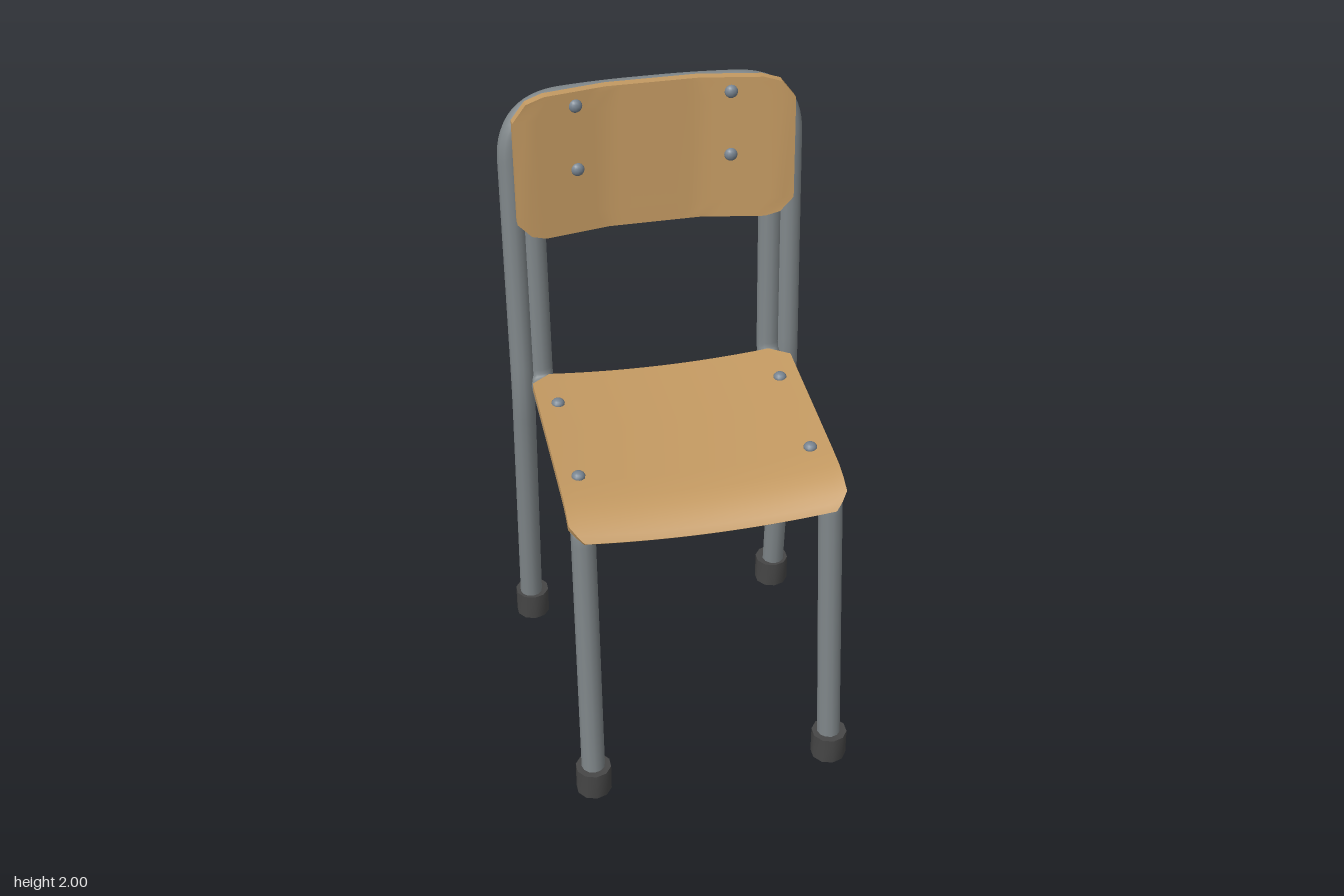
import * as THREE from 'three';
import { toCreasedNormals } from 'three/addons/utils/BufferGeometryUtils.js';

const wood = new THREE.MeshStandardMaterial({ name: 'wood', color: 0xc49a62 });
const steel = new THREE.MeshStandardMaterial({ name: 'steel', color: 0x7f8689 });
const boltSteel = new THREE.MeshStandardMaterial({ name: 'boltSteel', color: 0x788490 });
const rubber = new THREE.MeshStandardMaterial({ name: 'rubber', color: 0x464646 });

function add(parent, name, geometry, material) {
  const mesh = new THREE.Mesh(geometry, material);
  mesh.name = name;
  parent.add(mesh);
  return mesh;
}

// Bent steel pipe: stations are [x, y, z, bend length], corners are rounded
function pipe(stations) {
  const pts = stations.map(([x, y, z]) => new THREE.Vector3(x, y, z));
  const path = new THREE.CurvePath();
  path.arcLengthDivisions = 600;
  let from = pts[0];
  for (let i = 1; i < pts.length - 1; i++) {
    const toward = (q) => pts[i].clone().add(q.clone().sub(pts[i]).setLength(stations[i][3]));
    const a = toward(pts[i - 1]), b = toward(pts[i + 1]);
    path.add(new THREE.LineCurve3(from, a));
    path.add(new THREE.QuadraticBezierCurve3(a, pts[i], b));
    from = b;
  }
  path.add(new THREE.LineCurve3(from, pts[pts.length - 1]));
  return new THREE.TubeGeometry(path, 240, 0.037, 12, false);
}

// Bent plywood: rows are [half width, y, z] of the outer face, bend(x) gives [dy, dz]
function plywood(rows, thickness, bend) {
  const n = 25, loop = 2 * n, pos = [], index = [];
  rows.forEach(([w, y, z], r) => {
    const p = rows[Math.max(r - 1, 0)], q = rows[Math.min(r + 1, rows.length - 1)];
    const ty = q[1] - p[1], tz = q[2] - p[2], len = Math.hypot(ty, tz);
    for (let k = 0; k < loop; k++) {
      const back = k >= n, i = back ? loop - 1 - k : k;
      const x = w * (2 * i / (n - 1) - 1), [dy, dz] = bend(x);
      const t = back ? thickness / len : 0;
      pos.push(x, y + dy - tz * t, z + dz + ty * t);
    }
  });
  for (let r = 0; r < rows.length - 1; r++) {
    for (let k = 0; k < loop; k++) {
      const a = r * loop + k, b = r * loop + (k + 1) % loop;
      index.push(a, a + loop, b, b, a + loop, b + loop);
    }
  }
  const end = (rows.length - 1) * loop;
  for (let i = 0; i < n - 1; i++) {
    const a = i, b = i + 1, c = loop - 2 - i, d = loop - 1 - i;
    index.push(a, b, c, a, c, d);
    index.push(end + a, end + c, end + b, end + a, end + d, end + c);
  }
  const g = new THREE.BufferGeometry();
  g.setAttribute('position', new THREE.Float32BufferAttribute(pos, 3));
  g.setIndex(index);
  return toCreasedNormals(g, 0.6);
}

export function createModel() {
  const chair = new THREE.Group();
  chair.name = 'chair';

  // Outer frame: rear legs joined by the top rail
  add(chair, 'rearFrame', pipe([
    [-0.432, 0.03, -0.447], [-0.432, 0.98, -0.36, 0.1], [-0.432, 1.95, -0.415, 0.17],
    [-0.14, 1.95, -0.45, 0.1], [0.14, 1.95, -0.45, 0.1],
    [0.432, 1.95, -0.415, 0.17], [0.432, 0.98, -0.36, 0.1], [0.432, 0.03, -0.447],
  ]), steel);

  // Inner frame: front legs, seat rails, back posts and lower rail
  add(chair, 'frontFrame', pipe([
    [-0.371, 0.03, 0.45], [-0.371, 0.995, 0.4, 0.035], [-0.371, 1.003, -0.37, 0.06],
    [-0.371, 1.76, -0.405, 0.05], [-0.14, 1.76, -0.45, 0.1], [0.14, 1.76, -0.45, 0.1],
    [0.371, 1.76, -0.405, 0.05], [0.371, 1.003, -0.37, 0.06], [0.371, 0.995, 0.4, 0.035],
    [0.392, 0.03, 0.45],
  ]), steel);

  // Rubber feet
  for (const [name, x, z] of [
    ['frontRightFoot', -0.371, 0.45], ['frontLeftFoot', 0.392, 0.45],
    ['rearRightFoot', -0.428, -0.448], ['rearLeftFoot', 0.428, -0.448],
  ]) {
    const g = toCreasedNormals(new THREE.CylinderGeometry(0.056, 0.056, 0.092, 10), 0.7);
    add(chair, name, g, rubber).position.set(x, 0.046, z);
  }

  // Seat: dished across, rolled over at the front
  add(chair, 'seat', plywood([
    [0.355, 1.075, -0.3], [0.415, 1.073, -0.25], [0.415, 1.064, 0], [0.415, 1.055, 0.25],
    [0.415, 1.05, 0.33], [0.415, 1.039, 0.375], [0.415, 1.018, 0.42], [0.395, 1.0, 0.445],
    [0.375, 0.982, 0.46],
  ], 0.027, (x) => [0.022 * ((x / 0.4) ** 2 - 1), 0]), wood);

  // Backrest: flat middle with sides swept forward
  const sweep = (x) => -0.045 * (1 - THREE.MathUtils.clamp((Math.abs(x) - 0.14) / 0.25, 0, 1));
  add(chair, 'backrest', plywood([
    [0.33, 2, -0.337], [0.385, 1.985, -0.3365], [0.427, 1.93, -0.335],
    [0.427, 1.6, -0.323], [0.385, 1.555, -0.3215], [0.34, 1.54, -0.321],
  ], 0.03, (x) => [0, sweep(x)]), wood);

  // Domed bolts
  const dome = new THREE.SphereGeometry(0.021, 12, 8);
  for (const x of [-1, 1]) {
    for (const [y, z] of [[1.053, 0.228], [1.065, -0.142]]) {
      const bolt = add(chair, 'seatBolt', dome, boltSteel);
      bolt.position.set(x * 0.353, y, z);
      bolt.scale.y = 0.75;
    }
    for (const [y, z] of [[1.955, -0.336], [1.75, -0.329]]) {
      const bolt = add(chair, 'backBolt', dome, boltSteel);
      bolt.position.set(x * 0.235, y, z + sweep(0.235));
      bolt.scale.z = 0.75;
    }
  }
  return chair;
}
